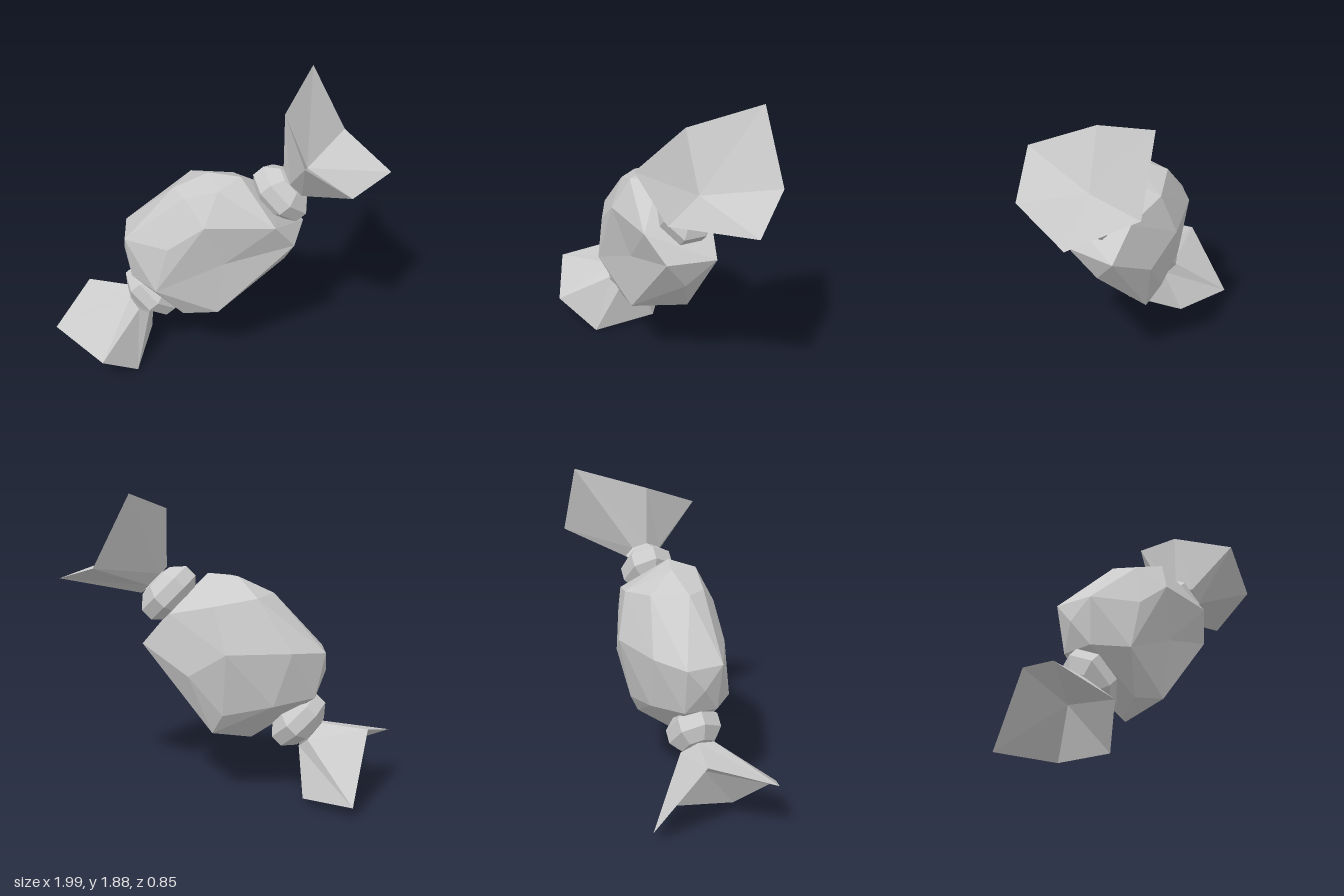
import * as THREE from 'three';
import { ConvexGeometry } from 'three/addons/geometries/ConvexGeometry.js';

const V = (x, y, z) => new THREE.Vector3(x, y, z);
const material = new THREE.MeshStandardMaterial({ color: 0xcccccc, flatShading: true, side: THREE.DoubleSide });
const AXIS = V(0.72, 0.69, 0).normalize(); // long axis of the sweet

function add(group, name, geometry) {
  const mesh = new THREE.Mesh(geometry, material);
  mesh.name = name;
  group.add(mesh);
  return mesh;
}

// Faceted body: a hull with one point of the front face pressed inwards
function bodyGeometry() {
  const points = [
    // outline
    [-0.28, 1.26, 0.03], [-0.07, 1.36, 0], [0.12, 1.37, 0.05], [0.49, 0.97, -0.15], [0.45, 0.98, 0.15],
    [0.39, 0.78, 0], [0.07, 0.43, -0.17], [-0.15, 0.36, 0], [-0.22, 0.42, 0.15],
    [-0.54, 0.65, 0.1], [-0.54, 0.65, -0.1], [-0.6, 0.8, 0], [-0.6, 0.93, -0.11], [-0.57, 0.93, 0.12],
    // front
    [-0.2, 1.26, 0.15], [0, 1.34, 0.18], [-0.07, 1.14, 0.27], [0.34, 1.15, 0.24], [-0.29, 0.96, 0.25],
    [0.04, 0.85, 0.29], [-0.37, 0.65, 0.25], [0, 0.47, 0.18],
    // back
    [-0.2, 1.26, -0.18], [0.05, 1.22, -0.25], [0.32, 1.16, -0.19], [-0.41, 0.95, -0.24],
    [-0.03, 0.95, -0.32], [0.2, 0.8, -0.26], [0, 0.56, -0.24], [-0.3, 0.62, -0.22],
  ];
  const geometry = new ConvexGeometry(points.map((p) => V(...p)));
  const pos = geometry.attributes.position;
  for (let i = 0; i < pos.count; i++) if (pos.getZ(i) > 0.28) pos.setZ(i, 0.2);
  geometry.computeVertexNormals();
  return geometry;
}

// Flared wrapper end: neck ring out to the rim, then in to a deep centre
function fanGeometry(rimPoints, neckCentre, innerCentre) {
  const rim = rimPoints.map((p) => V(...p));
  const neck = rim.map((p) => p.clone().sub(neckCentre).projectOnPlane(AXIS).setLength(0.11).add(neckCentre));
  const corners = [];
  rim.forEach((p, i) => {
    const j = (i + 1) % rim.length;
    corners.push(neck[i], p, rim[j], neck[i], rim[j], neck[j], p, innerCentre, rim[j]);
  });
  const geometry = new THREE.BufferGeometry().setFromPoints(corners);
  geometry.computeVertexNormals();
  return geometry;
}

export function createModel() {
  const group = new THREE.Group();
  group.name = 'wrappedSweet';
  add(group, 'body', bodyGeometry());

  // Pinched knots between body and wrapper ends
  const knots = [['upperKnot', 0.355, 1.25], ['lowerKnot', -0.435, 0.485]];
  for (const [name, x, y] of knots) {
    const knot = add(group, name, new THREE.SphereGeometry(1, 7, 5));
    knot.scale.set(0.205, 0.13, 0.165);
    knot.position.set(x, y, 0);
    knot.rotation.z = -Math.PI / 4;
  }

  add(group, 'upperWrapperEnd', fanGeometry([
    [0.5, 1.88, -0.41], [0.71, 1.46, -0.43], [0.99, 1.35, -0.13],
    [0.76, 1.41, 0.29], [0.49, 1.62, 0.36], [0.36, 1.76, 0],
  ], V(0.44, 1.33, 0), V(0.5, 1.41, -0.02)));

  add(group, 'lowerWrapperEnd', fanGeometry([
    [-1, 0.35, 0.28], [-0.69, 0.2, 0.42], [-0.51, 0, 0.23],
    [-0.48, 0.04, -0.18], [-0.78, 0.07, -0.38], [-0.86, 0.46, -0.09],
  ], V(-0.51, 0.4, 0), V(-0.6, 0.3, 0)));

  return group;
}
